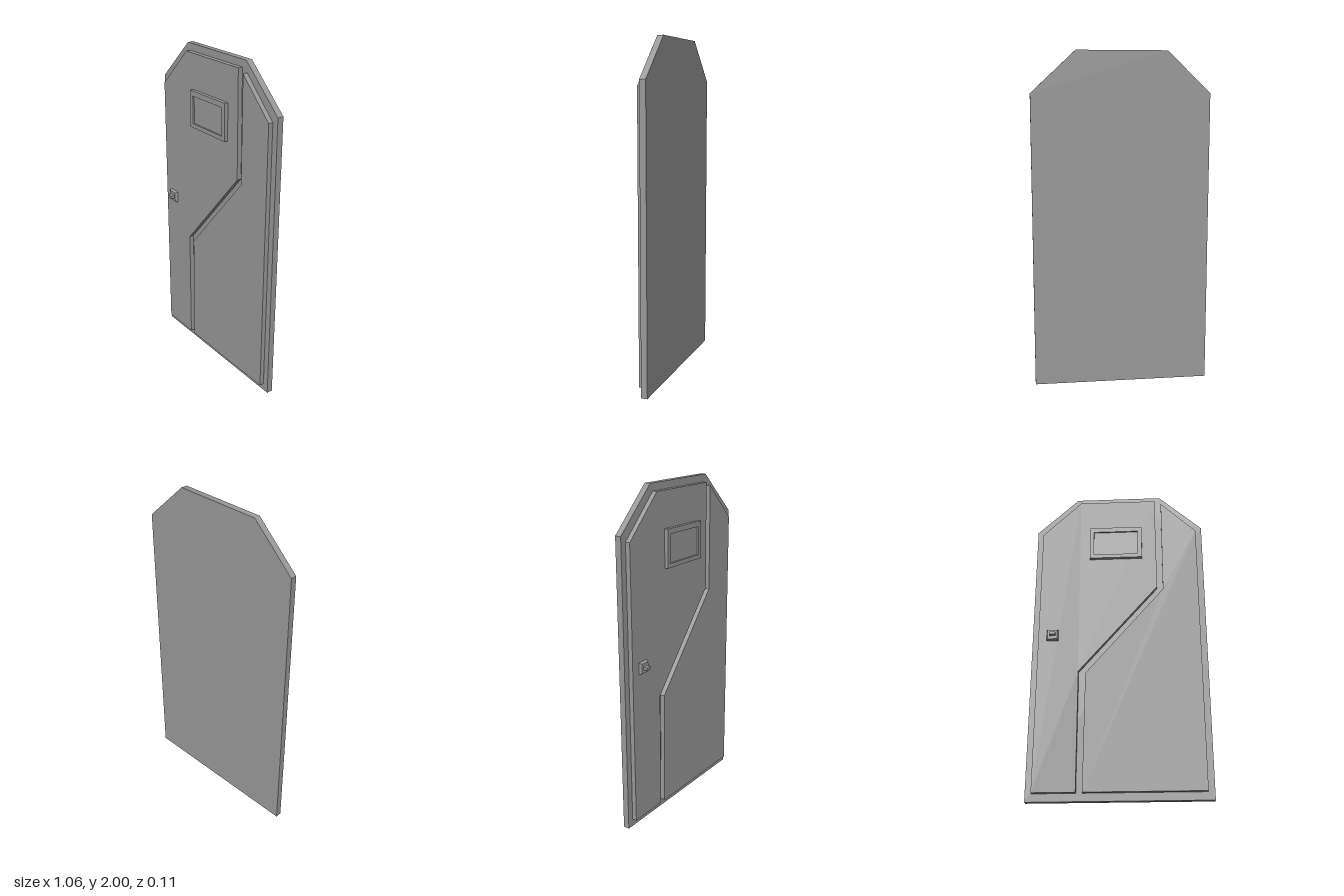
import * as THREE from 'three';
import { toCreasedNormals } from 'three/addons/utils/BufferGeometryUtils.js';

const material = new THREE.MeshStandardMaterial({ color: 0x9a9a9a });
const CREASE = Math.PI / 4;

function part(name, geometry) {
  const mesh = new THREE.Mesh(geometry, material);
  mesh.name = name;
  return mesh;
}

// Flat plate: outline in x/y, extruded from z0 to z1, with an optional hole
function plateGeometry(points, z0, z1, hole) {
  const toVectors = (list) => list.map(([x, y]) => new THREE.Vector2(x, y));
  const shape = new THREE.Shape(toVectors(points));
  if (hole) shape.holes.push(new THREE.Path(toVectors(hole)));
  const geometry = new THREE.ExtrudeGeometry(shape, { depth: z1 - z0, bevelEnabled: false });
  return geometry.translate(0, 0, z0);
}

const rect = (x0, x1, y0, y1) => [[x0, y0], [x1, y0], [x1, y1], [x0, y1]];

// Square plate with sloping sides, facing +z
function squareFrustum(back, front, depth) {
  const k = Math.SQRT1_2;
  const geometry = new THREE.CylinderGeometry(front * k, back * k, depth, 4);
  geometry.rotateY(Math.PI / 4);
  geometry.rotateX(Math.PI / 2);
  return toCreasedNormals(geometry, CREASE);
}

export function createModel() {
  const door = new THREE.Group();
  door.name = 'door';

  // Backing slab with clipped top corners, shaded softly across the top
  const slab = plateGeometry([
    [-0.528, 0], [0.528, 0], [0.528, 1.755], [0.264, 2], [-0.272, 2], [-0.528, 1.755],
  ], -0.055, -0.018);
  door.add(part('doorSlab', toCreasedNormals(slab, CREASE)));

  // Two raised panels separated by a diagonal groove
  door.add(part('handleSidePanel', plateGeometry([
    [-0.49, 0.046], [-0.242, 0.046], [-0.242, 0.766], [0.236, 1.32],
    [0.232, 1.957], [-0.25, 1.957], [-0.49, 1.72],
  ], -0.018, 0.01)));
  door.add(part('hingeSidePanel', plateGeometry([
    [-0.205, 0.046], [0.49, 0.046], [0.49, 1.72], [0.272, 1.935],
    [0.272, 1.303], [-0.2, 0.752],
  ], -0.018, 0.01)));

  // Raised window frame with a slightly sunken pane
  const opening = rect(-0.159, 0.118, 1.55, 1.716);
  door.add(part('windowFrame',
    plateGeometry(rect(-0.184, 0.145, 1.525, 1.747), 0.01, 0.032, opening)));
  door.add(part('windowPane', plateGeometry(opening, 0.01, 0.022)));

  // Door handle: bevelled plate and short latch
  const handle = new THREE.Group();
  handle.name = 'handle';
  handle.position.set(-0.403, 1, 0);
  const base = part('handlePlate', squareFrustum(0.072, 0.058, 0.016));
  base.position.z = 0.021;
  const latch = part('handleLatch', new THREE.BoxGeometry(0.034, 0.018, 0.046));
  latch.position.set(0.002, 0, 0.031);
  handle.add(base, latch);
  door.add(handle);

  return door;
}
